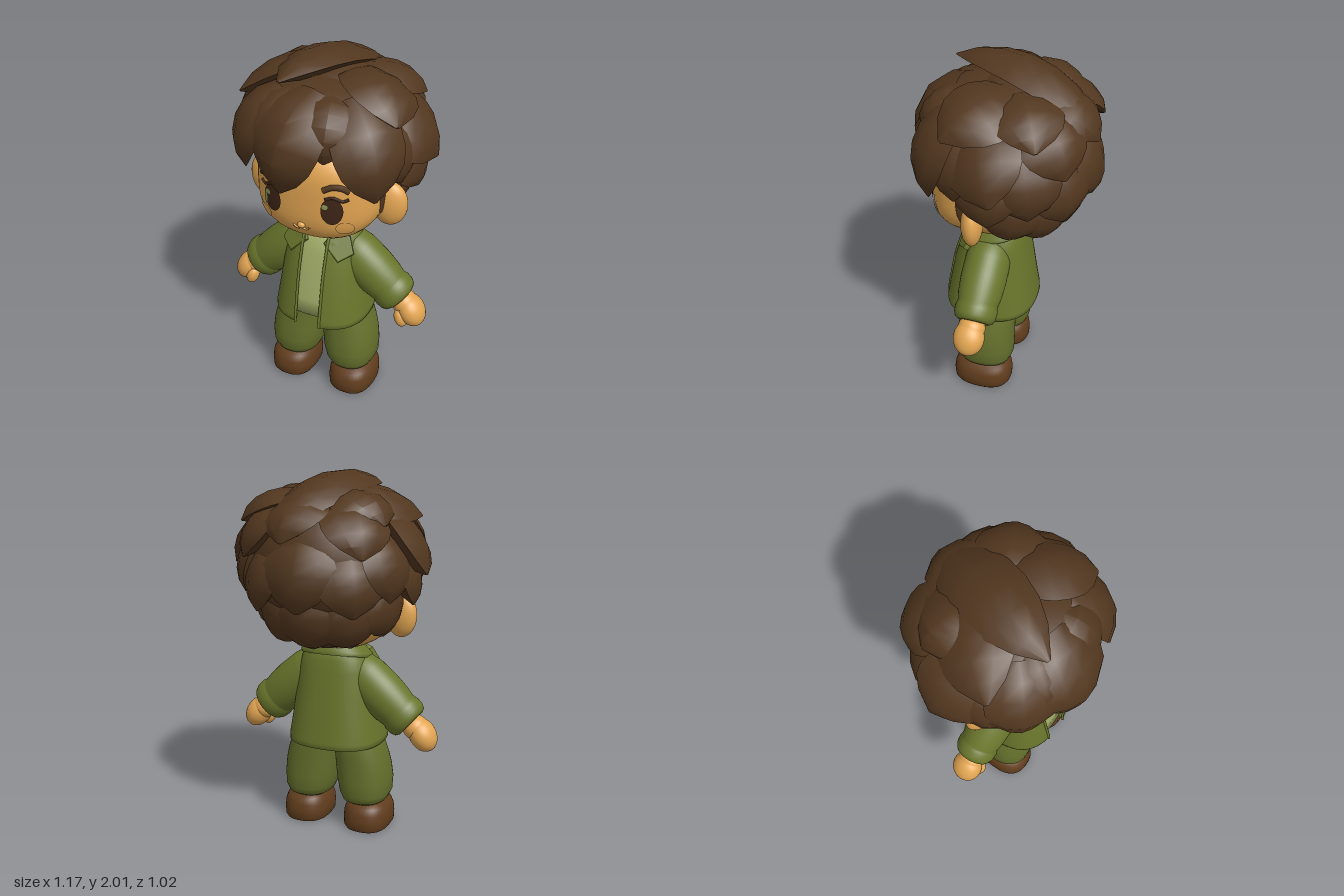
import * as THREE from 'three';
import { toCreasedNormals } from 'three/addons/utils/BufferGeometryUtils.js';

const mat = (name, color) => {
  const m = new THREE.MeshStandardMaterial({ color, side: THREE.DoubleSide });
  m.name = name;
  return m;
};
const V = (x, y, z) => new THREE.Vector3(x, y, z);

// Skin a list of point rows; rows run along the part, points go round it
function grid(rows, closed = true) {
  const n = rows[0].length, idx = [], span = closed ? n : n - 1;
  for (let i = 0; i < rows.length - 1; i++)
    for (let j = 0; j < span; j++) {
      const k = (j + 1) % n, a = i * n + j, b = i * n + k;
      idx.push(a, b, b + n, a, b + n, a + n);
    }
  const g = new THREE.BufferGeometry();
  g.setAttribute('position', new THREE.Float32BufferAttribute(rows.flat().flatMap(p => [p.x, p.y, p.z]), 3));
  g.setIndex(idx);
  g.computeVertexNormals();
  return g;
}

// Super-ellipse rows [y, cx, hx, cz, hz]; gap leaves a front opening of that half width
function ringRows(rows, n = 2, gap = 0, segs = 40) {
  return rows.map(([y, cx, hx, cz, hz]) => {
    const g = gap ? Math.asin(Math.min(1, (gap / hx) ** (n / 2))) : 0;
    return Array.from({ length: gap ? segs + 1 : segs }, (_, j) => {
      const a = g + (j / segs) * (2 * Math.PI - 2 * g), s = Math.sin(a), c = Math.cos(a);
      return V(cx + hx * Math.sign(s) * Math.abs(s) ** (2 / n), y, cz + hz * Math.sign(c) * Math.abs(c) ** (2 / n));
    });
  });
}
const loft = (rows, n, gap) => grid(ringRows(rows, n, gap), !gap);

// Head: boxy in profile (power n), rounder across the face (power p)
const HEAD = { a: 0.35, b: 0.28, c: 0.3, y: 1.335, z: 0.08, n: 3.4, p: 2.4 };
const faceZ = (x, y) => HEAD.z + HEAD.c * Math.max(0,
  (1 - Math.abs(x / HEAD.a) ** HEAD.p) ** (HEAD.n / HEAD.p) - Math.abs((y - HEAD.y) / HEAD.b) ** HEAD.n) ** (1 / HEAD.n);

function headGeometry() {
  const g = new THREE.SphereGeometry(1, 48, 36), q = g.attributes.position, v = V(0, 0, 0);
  for (let i = 0; i < q.count; i++) {
    v.fromBufferAttribute(q, i);
    const yz = (Math.abs(v.y) ** HEAD.n + Math.abs(v.z) ** HEAD.n) ** (HEAD.p / HEAD.n);
    const k = (Math.abs(v.x) ** HEAD.p + yz) ** (-1 / HEAD.p);
    q.setXYZ(i, v.x * k * HEAD.a, HEAD.y + v.y * k * HEAD.b, HEAD.z + v.z * k * HEAD.c);
  }
  g.computeVertexNormals();
  return g;
}

// Thin oval laid on the face
function faceOval(x, y, rx, ry, lift = 0.007) {
  const g = new THREE.RingGeometry(0.001, 1, 32, 4), p = g.attributes.position;
  for (let i = 0; i < p.count; i++) {
    const px = x + p.getX(i) * rx, py = y + p.getY(i) * ry;
    p.setXYZ(i, px, py, faceZ(px, py) + lift);
  }
  g.computeVertexNormals();
  return g;
}
const faceLine = (pts, r) => new THREE.TubeGeometry(
  new THREE.CatmullRomCurve3(pts.map(([x, y]) => V(x, y, faceZ(x, y) + 0.002))), 12, r, 6);

// Leaf-shaped, ridged lock of hair from root to tip, deep underneath so it sits on the hair below
const SECTION = [[1, 0], [0.55, 0.68], [0, 1], [-0.55, 0.68], [-1, 0], [0, -1.5]];
const LEAF = [0.45, 0.85, 1, 1, 0.88, 0.58, 0.06];
function lockGeometry(root, tip, w, bulge) {
  const centre = V(0, 1.5, -0.05), a = V(...root), b = V(...tip);
  const mid = a.clone().add(b).multiplyScalar(0.5);
  mid.addScaledVector(mid.clone().sub(centre).normalize(), bulge);
  const curve = new THREE.QuadraticBezierCurve3(a, mid, b);
  const rows = LEAF.map((k, i) => {
    const t = i / (LEAF.length - 1), p = curve.getPoint(t), T = curve.getTangent(t);
    const N = p.clone().sub(centre);
    N.addScaledVector(T, -N.dot(T)).normalize();
    const B = N.clone().cross(T);
    return SECTION.map(([u, v]) => p.clone().addScaledVector(B, u * k * w).addScaledVector(N, v * k * w * 0.38));
  });
  return toCreasedNormals(grid(rows), 0.55);
}

// Locks: root, tip, half width, bulge
const LOCKS = [
  // fringe
  [[0.01, 1.86, 0.22], [-0.1, 1.38, 0.41], 0.195, 0.22],
  [[0.19, 1.84, 0.18], [0.37, 1.38, 0.3], 0.185, 0.16],
  [[-0.19, 1.84, 0.18], [-0.35, 1.42, 0.3], 0.175, 0.16],
  [[0.1, 1.84, 0.2], [0.13, 1.58, 0.385], 0.16, 0.12],
  [[-0.12, 1.84, 0.2], [-0.24, 1.51, 0.36], 0.16, 0.13],
  // crown
  [[0.06, 1.79, -0.42], [-0.14, 1.92, 0.31], 0.18, 0.16],
  [[0, 1.84, -0.25], [-0.43, 1.77, 0.18], 0.21, 0.1],
  [[0.1, 1.86, -0.1], [0.43, 1.75, 0.2], 0.2, 0.09],
  [[0.08, 1.86, -0.08], [0.41, 1.75, -0.26], 0.18, 0.08],
  [[-0.08, 1.86, -0.12], [-0.38, 1.75, -0.23], 0.18, 0.08],
  // upper back
  [[0.03, 1.85, -0.18], [0.07, 1.67, -0.49], 0.18, 0.09],
  [[-0.16, 1.83, -0.2], [-0.33, 1.6, -0.41], 0.18, 0.07],
  [[0.18, 1.83, -0.2], [0.33, 1.58, -0.39], 0.18, 0.07],
  // middle and lower back
  [[0, 1.68, -0.37], [0, 1.32, -0.46], 0.2, 0.04],
  [[0, 1.42, -0.36], [0, 1.1, -0.26], 0.18, 0.07],
];
// Locks repeated on both sides
const SIDE_LOCKS = [
  [[0.28, 1.78, 0.04], [0.55, 1.5, -0.08], 0.2, 0.05],
  [[0.3, 1.74, 0.16], [0.44, 1.43, 0.14], 0.16, 0.08],
  [[0.36, 1.62, 0], [0.47, 1.33, -0.04], 0.17, 0.04],
  [[0.31, 1.7, -0.16], [0.41, 1.37, -0.23], 0.18, 0.07],
  [[0.21, 1.62, -0.31], [0.27, 1.3, -0.37], 0.18, 0.04],
  [[0.18, 1.42, -0.31], [0.19, 1.11, -0.2], 0.16, 0.07],
  [[0.33, 1.45, -0.16], [0.32, 1.16, -0.08], 0.15, 0.05],
];

export function createModel() {
  const root = new THREE.Group();
  root.name = 'boyFigure';
  const skin = mat('skin', 0xe2a552), hair = mat('darkBrownHair', 0x52371f), jacketGreen = mat('jacketGreen', 0x69752c);
  const trouserGreen = mat('trouserGreen', 0x646f2c), shirtGreen = mat('paleShirtGreen', 0xa1ad68);
  const leather = mat('shoeBrown', 0x613d1d), eyeBrown = mat('eyeBrown', 0x3e2516);
  const glint = mat('eyeGlint', 0x8a9a5c);
  const add = (name, geometry, material, parent = root) => {
    const m = new THREE.Mesh(geometry, material);
    m.name = name;
    parent.add(m);
    return m;
  };
  const ball = (name, pos, size, material, parent) => {
    const m = add(name, new THREE.SphereGeometry(1, 28, 20), material, parent);
    m.position.set(...pos);
    m.scale.set(...size);
    return m;
  };

  // Head and face
  add('head', headGeometry(), skin);
  add('neck', new THREE.CylinderGeometry(0.085, 0.1, 0.16, 28), skin).position.set(0, 1.03, 0.05);
  ball('nose', [0, 1.195, faceZ(0, 1.195)], [0.022, 0.018, 0.018], skin);
  add('mouth', faceLine([[-0.045, 1.188], [-0.025, 1.17], [0, 1.178], [0.025, 1.17], [0.045, 1.188]], 0.006), skin);
  for (const s of [-1, 1]) {
    ball('ear', [s * 0.362, 1.25, 0.075], [0.093, 0.125, 0.057], skin).rotation.y = s * 0.2;
    ball('sideburn', [s * 0.336, 1.34, 0.135], [0.018, 0.12, 0.036], hair);
    add('eye', faceOval(s * 0.165, 1.31, 0.054, 0.077), eyeBrown);
    add('eyelash', faceLine([[s * 0.13, 1.376], [s * 0.17, 1.388], [s * 0.215, 1.368], [s * 0.24, 1.378]], 0.008), eyeBrown);
    add('eyebrow', faceLine([[s * 0.12, 1.425], [s * 0.165, 1.445], [s * 0.21, 1.44], [s * 0.24, 1.42]], 0.016), hair);
    add('cheek', faceOval(s * 0.222, 1.205, 0.041, 0.041), skin);
  }
  for (const [x, y, rx, ry] of [[-0.192, 1.335, 0.016, 0.014], [-0.209, 1.295, 0.009, 0.038], [0.133, 1.335, 0.016, 0.014]])
    add('eyeGlint', faceOval(x, y, rx, ry, 0.01), glint);

  // Hair
  const hairGroup = new THREE.Group();
  hairGroup.name = 'hair';
  root.add(hairGroup);
  ball('hairCap', [0, 1.53, -0.07], [0.42, 0.4, 0.38], hair, hairGroup);
  ball('hairFront', [0, 1.69, 0.1], [0.37, 0.2, 0.3], hair, hairGroup);
  ball('hairNape', [0, 1.32, -0.17], [0.35, 0.23, 0.2], hair, hairGroup);
  for (const l of LOCKS) add('hairLock', lockGeometry(...l), hair, hairGroup);
  for (const [r, t, w, b] of SIDE_LOCKS)
    for (const s of [-1, 1])
      add('sideHairLock', lockGeometry([s * r[0], r[1], r[2]], [s * t[0], t[1], t[2]], w, b), hair, hairGroup);

  // Jacket body, open at the front, with turned-in hem
  const N = 2.5, GAP = 0.072;
  const jacketRows = [[0.56, 0, 0.22, 0.08, 0.21], [0.512, 0, 0.255, 0.08, 0.245], [0.51, 0, 0.27, 0.08, 0.258],
    [0.54, 0, 0.27, 0.08, 0.256], [0.65, 0, 0.252, 0.078, 0.238], [0.8, 0, 0.23, 0.073, 0.213],
    [0.93, 0, 0.212, 0.064, 0.182], [1.0, 0, 0.19, 0.055, 0.165], [1.05, 0, 0.15, 0.05, 0.14], [1.07, 0, 0.1, 0.05, 0.1]];
  add('jacketBody', loft(jacketRows, N, GAP), jacketGreen);
  const edges = ringRows(jacketRows.slice(2, 9), N, GAP);
  for (const k of [0, 40])
    add('jacketFrontEdge', new THREE.TubeGeometry(new THREE.CatmullRomCurve3(edges.map(r => r[k])), 24, 0.008, 8), jacketGreen);
  add('shirt', loft([[0.565, 0, 0.001, 0.08, 0.001], [0.565, 0, 0.24, 0.08, 0.232], [0.65, 0, 0.235, 0.078, 0.22],
    [0.8, 0, 0.213, 0.073, 0.196], [0.93, 0, 0.195, 0.064, 0.168], [1.0, 0, 0.165, 0.055, 0.15],
    [1.03, 0, 0.12, 0.05, 0.115]], N), shirtGreen);

  // Collar band, higher at the back, and its two front flaps
  const band = ringRows([[0.99, 0, 0.195, 0.045, 0.17], [1.01, 0, 0.2, 0.045, 0.172], [1.06, 0, 0.155, 0.04, 0.145],
    [1.065, 0, 0.14, 0.04, 0.13], [1.02, 0, 0.12, 0.04, 0.11]], 2.2, 0.1);
  band.flat().forEach(p => { p.y += 0.02 - p.z * 0.2; });
  add('collarBand', grid(band, false), jacketGreen);
  for (const s of [-1, 1]) {
    const flap = new THREE.Shape([[0.09, 0.075], [0.17, 0.06], [0.205, -0.02], [0.14, -0.075], [0.055, 0.0]]
      .map(([x, y]) => new THREE.Vector2(s * x, y)));
    const m = add('collarFlap', new THREE.ExtrudeGeometry(flap,
      { depth: 0.02, bevelSize: 0.008, bevelThickness: 0.008, bevelSegments: 2 }), jacketGreen);
    m.position.set(0, 0.995, 0.213);
    m.rotation.set(-0.55, s * 0.34, 0);
  }

  for (const s of [-1, 1]) {
    // Sleeve with rounded cuff
    const sleeve = add('sleeve', loft([[-0.07, 0.001], [-0.05, 0.07], [0, 0.112], [0.08, 0.13], [0.2, 0.132], [0.29, 0.125],
      [0.335, 0.116], [0.345, 0.117], [0.365, 0.123], [0.4, 0.121], [0.425, 0.11], [0.437, 0.088], [0.435, 0.001]]
      .map(([y, r]) => [y, 0, r, 0, r * 0.95]), 2), jacketGreen);
    sleeve.position.set(s * 0.11, 0.935, 0.055);
    sleeve.quaternion.setFromUnitVectors(V(0, 1, 0), V(s * 0.32, -0.275, 0).normalize());

    // Wrist, hand and thumb
    ball('wrist', [s * 0.465, 0.63, 0.057], [0.07, 0.07, 0.075], skin);
    ball('hand', [s * 0.507, 0.592, 0.06], [0.073, 0.098, 0.086], skin).rotation.z = s * 0.55;
    ball('thumb', [s * 0.465, 0.56, 0.11], [0.036, 0.058, 0.042], skin).rotation.z = s * 0.3;

    // Baggy trouser leg
    add('trouserLeg', loft([[0.155, 0.17, 0.001, 0.08, 0.001], [0.155, 0.17, 0.105, 0.08, 0.125], [0.17, 0.17, 0.125, 0.08, 0.15],
      [0.21, 0.17, 0.143, 0.082, 0.168], [0.28, 0.164, 0.153, 0.084, 0.171], [0.36, 0.156, 0.153, 0.079, 0.165],
      [0.43, 0.146, 0.147, 0.074, 0.16], [0.5, 0.13, 0.138, 0.07, 0.157], [0.58, 0.115, 0.125, 0.07, 0.15],
      [0.6, 0.115, 0.001, 0.07, 0.001]].map(([y, cx, ...r]) => [y, s * cx, ...r]), 2.3), trouserGreen);

    // Chunky shoe
    add('shoe', toCreasedNormals(loft([[0, 0.187, 0.001, 0.09, 0.001], [0, 0.187, 0.122, 0.09, 0.16], [0.015, 0.187, 0.131, 0.09, 0.169],
      [0.06, 0.187, 0.133, 0.09, 0.171], [0.1, 0.187, 0.13, 0.09, 0.165], [0.135, 0.187, 0.118, 0.088, 0.152],
      [0.158, 0.185, 0.095, 0.086, 0.125], [0.165, 0.185, 0.001, 0.086, 0.001]]
      .map(([y, cx, ...r]) => [y, s * cx, ...r]), 2.5), 0.9), leather);
  }
  return root;
}
